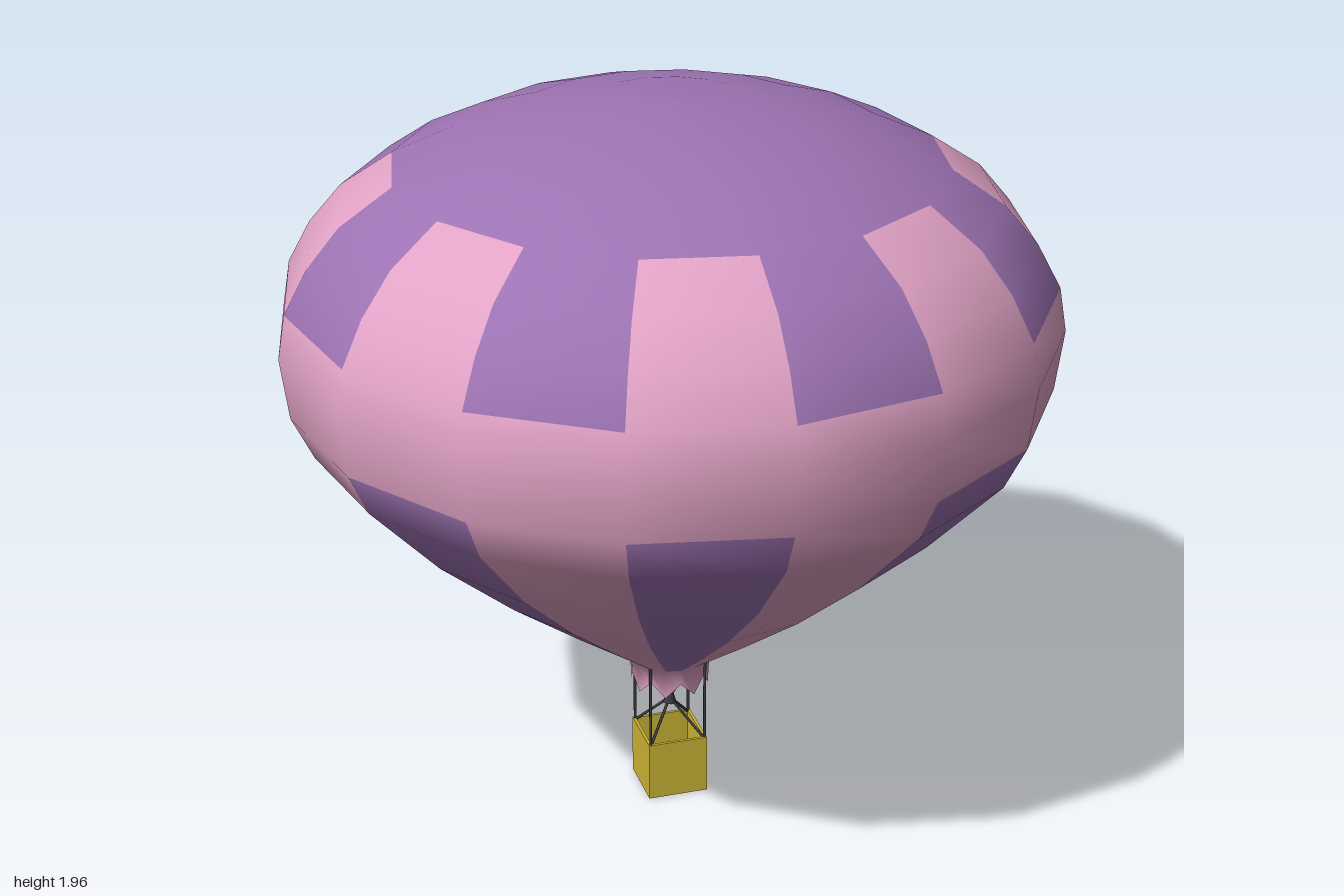
import * as THREE from 'three';

const mat = (name, color, side = THREE.FrontSide) => {
  const m = new THREE.MeshStandardMaterial({ color, side });
  m.name = name;
  return m;
};

// Sixteen-gore envelope: one smooth lathe, coloured per panel through groups
function buildEnvelope(pink, purple) {
  const profile = [
    [0.104, 0.315], [0.108, 0.4], [0.3, 0.54], [0.51, 0.7], [0.73, 0.89], [0.925, 1.1],
    [0.98, 1.215], [1, 1.375], [0.98, 1.49], [0.92, 1.6], [0.835, 1.7], [0.7, 1.79],
    [0.54, 1.863], [0.385, 1.91], [0.2, 1.946], [0, 1.955],
  ].map(([r, y]) => new THREE.Vector2(r, y));
  const gores = 16, rows = profile.length;
  const geo = new THREE.LatheGeometry(profile, gores);

  // scalloped rim of the skirt
  const pos = geo.attributes.position;
  for (let i = 0; i <= gores; i += 2) pos.setY(i * rows, 0.355);

  // bands by row: skirt, lower stripes, plain belt, upper blocks, crown
  const isPurple = (gore, row) => {
    const odd = gore % 2 === 1;
    if (row === 0) return false;
    if (row <= 5) return odd;
    if (row <= 7) return false;
    if (row <= 10) return !odd;
    return true;
  };
  for (let i = 0; i < gores; i++) {
    for (let j = 0; j < rows - 1; j++) {
      geo.addGroup((i * (rows - 1) + j) * 6, 6, isPurple(i, j) ? 1 : 0);
    }
  }
  const mesh = new THREE.Mesh(geo, [pink, purple]);
  mesh.name = 'envelope';
  return mesh;
}

export function createModel() {
  const pink = mat('pink fabric', 0xe2a3c6, THREE.DoubleSide);
  const purple = mat('purple fabric', 0x9d73b3, THREE.DoubleSide);
  const yellow = mat('yellow basket', 0xccb535);
  const dark = mat('dark rope', 0x3c3c40);

  const model = new THREE.Group();
  model.name = 'hotAirBalloon';
  const add = (name, geo, material, x = 0, y = 0, z = 0, parent = model) => {
    const m = new THREE.Mesh(geo, material);
    m.name = name;
    m.position.set(x, y, z);
    parent.add(m);
    return m;
  };
  const rod = (name, a, b, r) => {
    const dir = b.clone().sub(a);
    const mid = a.clone().add(b).multiplyScalar(0.5);
    const m = add(name, new THREE.CylinderGeometry(r, r, dir.length(), 6), dark, mid.x, mid.y, mid.z);
    m.quaternion.setFromUnitVectors(new THREE.Vector3(0, 1, 0), dir.normalize());
  };

  model.add(buildEnvelope(pink, purple));

  // open basket: floor and four walls
  const basket = new THREE.Group();
  basket.name = 'basket';
  model.add(basket);
  const half = 0.082, height = 0.166, wall = 0.008;
  add('basketFloor', new THREE.BoxGeometry(half * 2, wall, half * 2), yellow, 0, wall / 2, 0, basket);
  for (const s of [-1, 1]) {
    const off = s * (half - wall / 2);
    add('basketSideWall', new THREE.BoxGeometry(wall, height, half * 2), yellow, off, height / 2, 0, basket);
    add('basketEndWall', new THREE.BoxGeometry(half * 2, height, wall), yellow, 0, height / 2, off, basket);
  }

  // corner ropes and burner struts
  for (const sx of [-1, 1]) {
    for (const sz of [-1, 1]) {
      const corner = new THREE.Vector3(sx * 0.076, 0.16, sz * 0.076);
      rod('cornerRope', corner, new THREE.Vector3(sx * 0.076, 0.4, sz * 0.076), 0.004);
      rod('burnerStrut', corner, new THREE.Vector3(0, 0.26, 0), 0.004);
    }
  }

  // burner nozzle and flame
  add('burnerNozzle', new THREE.CylinderGeometry(0.01, 0.018, 0.03, 8), dark, 0, 0.262, 0);
  const flame = [[0, 0.268], [0.014, 0.277], [0.024, 0.295], [0.018, 0.311], [0, 0.325]]
    .map(([r, y]) => new THREE.Vector2(r, y));
  add('flame', new THREE.LatheGeometry(flame, 10), yellow);

  return model;
}
